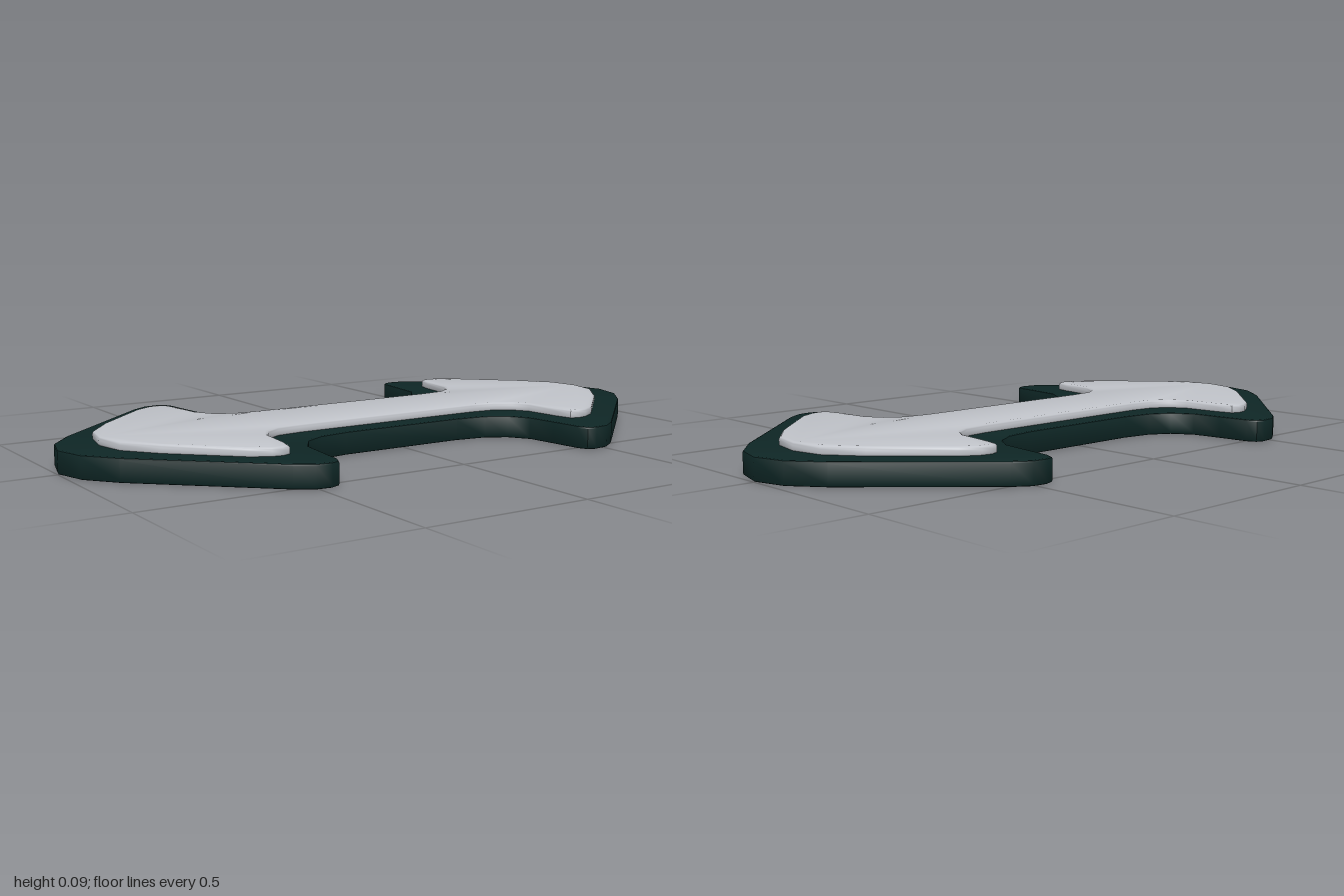
import * as THREE from 'three';
import { toCreasedNormals } from 'three/addons/utils/BufferGeometryUtils.js';

// One quarter of each outline, from the middle of the shaft to the arrow point
const BASE = [[0.2, 0.207], [0.3, 0.222], [0.36, 0.257], [0.4, 0.318], [0.412, 0.41], [0.423, 0.505],
  [0.437, 0.535], [0.463, 0.545], [0.51, 0.54], [0.56, 0.507], [0.9, 0.19], [0.973, 0.098], [1, 0]];
const INLAY = [[0.315, 0.135], [0.395, 0.144], [0.444, 0.176], [0.474, 0.225], [0.488, 0.34], [0.5, 0.39],
  [0.525, 0.4], [0.557, 0.395], [0.61, 0.365], [0.785, 0.195], [0.86, 0.098], [0.88, 0]];

// Mirror the quarter into a closed counter-clockwise outline
function outline(quarter) {
  const back = quarter.slice(0, -1);
  const right = [...back.map(([x, y]) => [x, -y]), ...quarter.slice().reverse()];
  const left = right.map(([x, y]) => [-x, -y]);
  return new THREE.Shape([...right, ...left].map(([x, y]) => new THREE.Vector2(x, y)));
}

// Flat plate with rounded rims, lying between two heights
function plate(name, quarter, bottom, top, bevel, segments, material) {
  const geometry = new THREE.ExtrudeGeometry(outline(quarter), {
    depth: top - bottom - 2 * bevel,
    bevelEnabled: true,
    bevelThickness: bevel,
    bevelSize: bevel,
    bevelOffset: -bevel,
    bevelSegments: segments,
  });
  geometry.rotateX(-Math.PI / 2).translate(0, bottom + bevel, 0);
  const mesh = new THREE.Mesh(toCreasedNormals(geometry, 0.75), material);
  mesh.name = name;
  return mesh;
}

export function createModel() {
  const darkGreen = new THREE.MeshStandardMaterial({ name: 'dark green', color: 0x0e2625 });
  const paleGrey = new THREE.MeshStandardMaterial({ name: 'pale grey', color: 0xc0c3c9 });

  const group = new THREE.Group();
  group.name = 'doubleArrow';
  group.add(plate('arrowBase', BASE, 0, 0.068, 0.006, 2, darkGreen));
  group.add(plate('arrowInlay', INLAY, 0.062, 0.093, 0.01, 4, paleGrey));
  return group;
}
